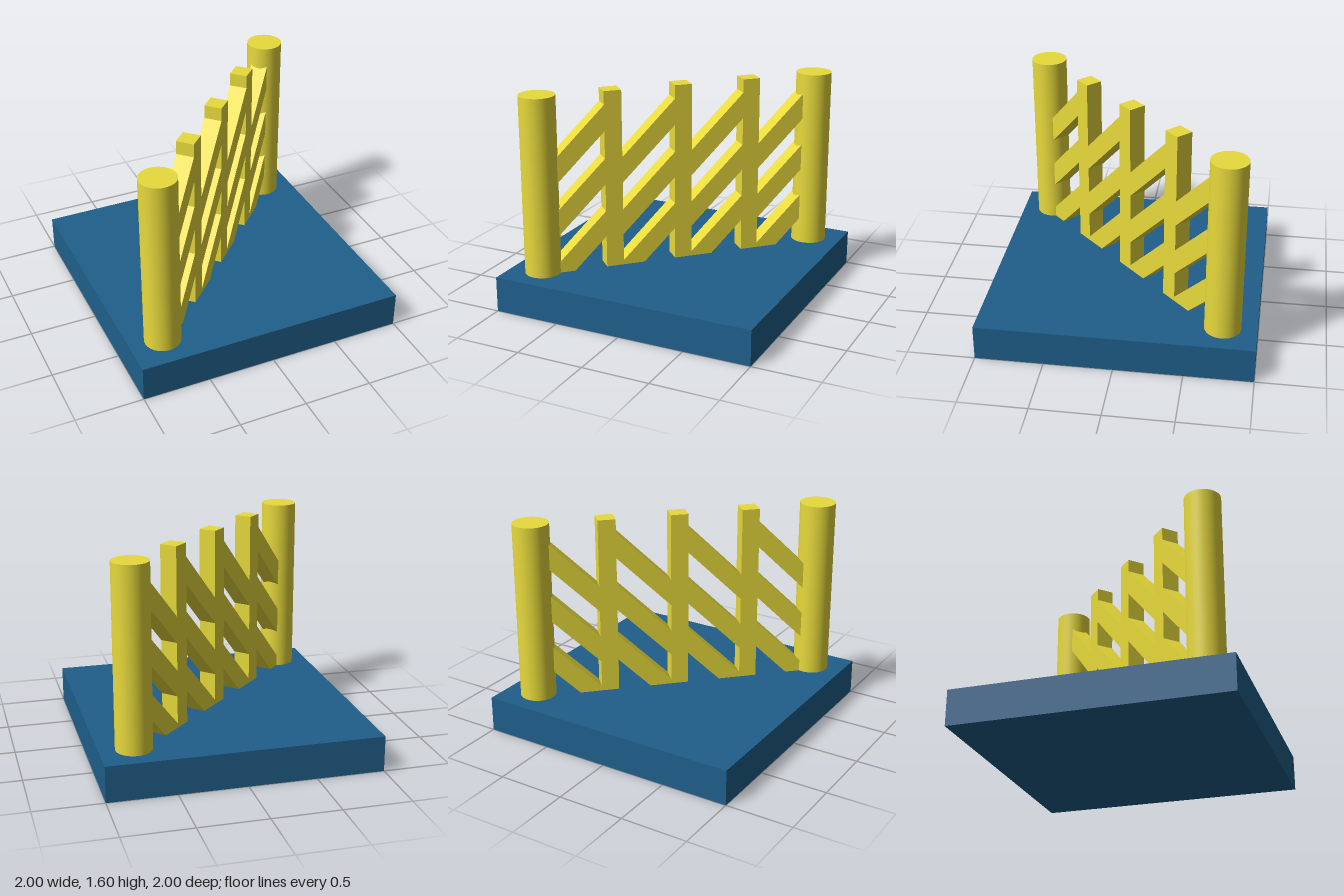
import * as THREE from 'three';

const BASE_H = 0.265, TOP = 1.6, SINK = 0.05;
const THICK = 0.13;          // square posts and rails
const SPACING = 0.532;       // between post centres along the fence
const END_RADIUS = 0.132;

export function createModel() {
  const model = new THREE.Group();
  model.name = 'fenceOnBase';
  const blue = new THREE.MeshStandardMaterial({ color: 0x1f5f8b });
  const yellow = new THREE.MeshStandardMaterial({ color: 0xe8da3c });

  const add = (parent, name, geometry, material, x, y, z = 0) => {
    const mesh = new THREE.Mesh(geometry, material);
    mesh.name = name;
    mesh.position.set(x, y, z);
    parent.add(mesh);
  };

  // Square slab
  add(model, 'base', new THREE.BoxGeometry(2, BASE_H, 2), blue, 0, BASE_H / 2);

  // The fence is built along x, then turned onto the diagonal
  const fence = new THREE.Group();
  fence.name = 'fence';
  fence.rotation.y = Math.PI / 4;
  model.add(fence);

  const postH = TOP - BASE_H + SINK;
  const postY = TOP - postH / 2;

  // Round end posts
  const endPost = new THREE.CylinderGeometry(END_RADIUS, END_RADIUS, postH, 48);
  for (const side of [-1, 1]) add(fence, 'endPost', endPost, yellow, side * 2 * SPACING, postY);

  // Square posts between them
  const post = new THREE.BoxGeometry(THICK, postH, THICK);
  for (const i of [-1, 0, 1]) add(fence, 'post', post, yellow, i * SPACING, postY);

  // Sloping rails with upright ends, three in each of the four bays
  const run = SPACING - THICK, rise = 0.4, height = 0.195;
  const profile = new THREE.Shape([
    new THREE.Vector2(0, 0),
    new THREE.Vector2(run, rise),
    new THREE.Vector2(run, rise + height),
    new THREE.Vector2(0, height),
  ]);
  const rail = new THREE.ExtrudeGeometry(profile, { depth: THICK, bevelEnabled: false });
  rail.translate(0, 0, -THICK / 2);
  for (let bay = -2; bay < 2; bay++) {
    for (let row = 0; row < 3; row++) {
      add(fence, 'rail', rail, yellow, bay * SPACING + THICK / 2, 0.105 + row * 0.4);
    }
  }
  return model;
}
